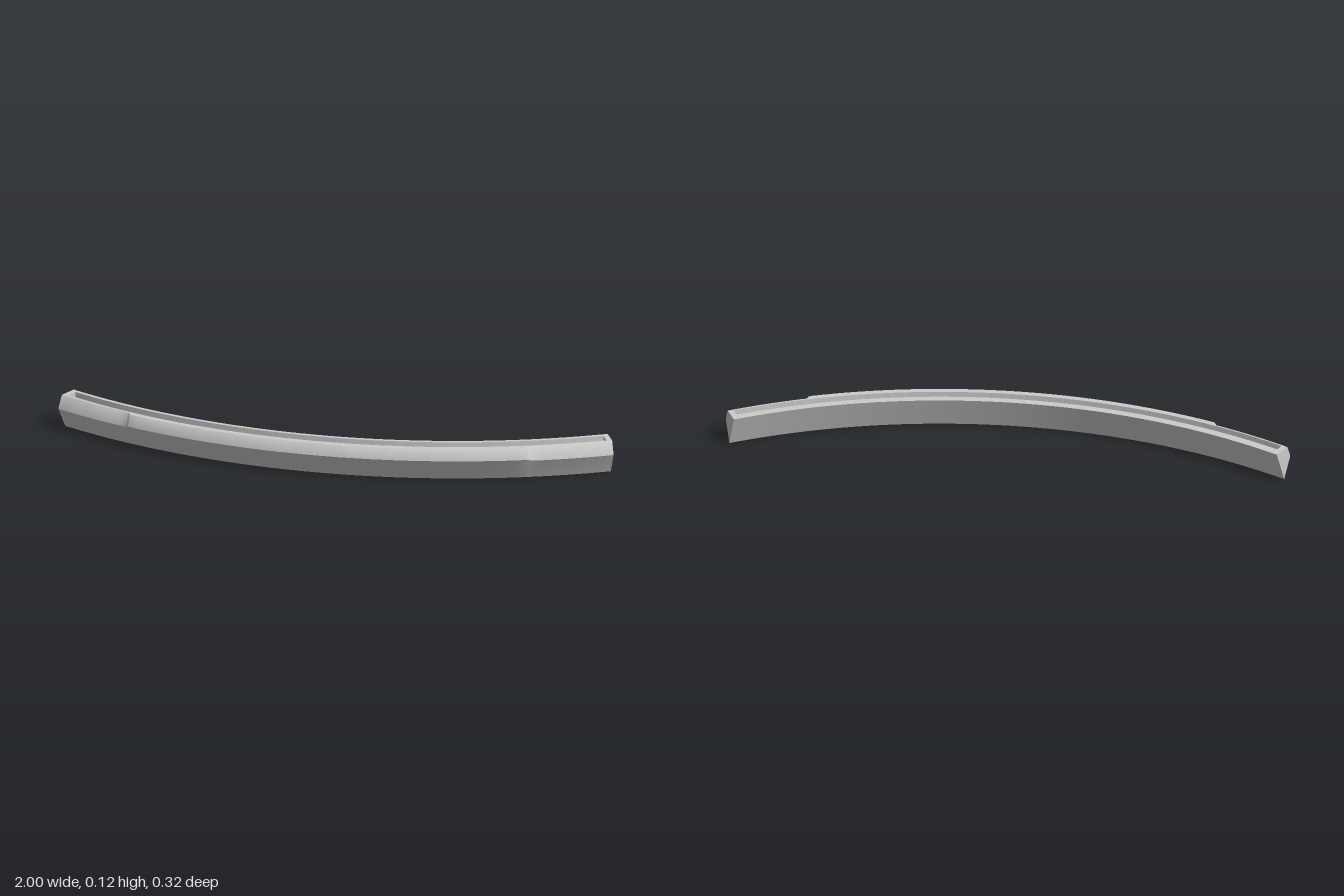
import * as THREE from 'three';
import { toCreasedNormals } from 'three/addons/utils/BufferGeometryUtils.js';

const CENTRE_Z = -2.045; // centre of the plan arc
const END = 0.473;       // half angle of the bar
const STEP = 0.333;      // half angle where the thicker middle stops
const STEP_LENGTH = 0.008;
const GROOVE_END = 0.464;
const GROOVE_DEPTH = 0.02;
const TOP = 0.124;

// Cross-section as [radius, height], counter-clockwise.
// t = 0 is the thick middle, t = 1 the thinner ends.
function section(t, depth) {
  const mix = (a, b) => a + (b - a) * t;
  const outer = mix(2.208, 2.2), belt = mix(0.083, 0.076), lip = mix(2.196, 2.182);
  return [
    [2.162, 0],
    [outer - 0.003, belt - 0.005],
    [outer, belt],
    [outer - 0.001, belt + 0.005],
    [lip + 0.001, TOP - 0.003],
    [lip - 0.002, TOP],
    [2.174, TOP],
    [2.174, TOP - depth],
    [2.13, TOP - depth],
    [2.13, TOP],
    [2.116, TOP],
  ];
}

function place([r, y], a) {
  return new THREE.Vector3(r * Math.sin(a), y, CENTRE_Z + r * Math.cos(a));
}

// Stations along one half, from the middle to the end
function halfStations() {
  const list = [];
  for (let i = 0; i <= 20; i++) list.push({ a: STEP * i / 20, t: 0, depth: GROOVE_DEPTH });
  for (let i = 1; i <= 5; i++) {
    const s = i / 5;
    list.push({ a: STEP + STEP_LENGTH * s, t: s * s * (3 - 2 * s), depth: GROOVE_DEPTH });
  }
  const start = STEP + STEP_LENGTH;
  for (let i = 1; i <= 8; i++) {
    list.push({ a: start + (GROOVE_END - start) * i / 8, t: 1, depth: GROOVE_DEPTH });
  }
  // same angle at zero depth makes the groove's end wall
  list.push({ a: GROOVE_END, t: 1, depth: 0 }, { a: END, t: 1, depth: 0 });
  return list;
}

function barGeometry() {
  const half = halfStations();
  const mirrored = half.slice(1).reverse().map(s => ({ ...s, a: -s.a }));
  const rings = [...mirrored, ...half].map(s => section(s.t, s.depth).map(p => place(p, s.a)));
  const positions = [];
  const addTriangle = (a, b, c) => {
    const area = b.clone().sub(a).cross(c.clone().sub(a)).length();
    if (area > 1e-9) for (const v of [a, b, c]) positions.push(v.x, v.y, v.z);
  };

  // Long faces
  for (let k = 0; k < rings.length - 1; k++) {
    const p = rings[k], q = rings[k + 1];
    for (let i = 0; i < p.length; i++) {
      const j = (i + 1) % p.length;
      addTriangle(p[i], q[i], q[j]);
      addTriangle(p[i], q[j], p[j]);
    }
  }

  // End faces
  const first = rings[0], last = rings[rings.length - 1];
  for (let i = 1; i < first.length - 1; i++) {
    addTriangle(first[0], first[i], first[i + 1]);
    addTriangle(last[0], last[i + 1], last[i]);
  }

  const geometry = new THREE.BufferGeometry();
  geometry.setAttribute('position', new THREE.Float32BufferAttribute(positions, 3));
  return toCreasedNormals(geometry, 0.65);
}

export function createModel() {
  const group = new THREE.Group();
  group.name = 'curvedBar';
  const bar = new THREE.Mesh(barGeometry(), new THREE.MeshStandardMaterial({ color: 0xcccccc }));
  bar.name = 'groovedBar';
  group.add(bar);
  return group;
}
